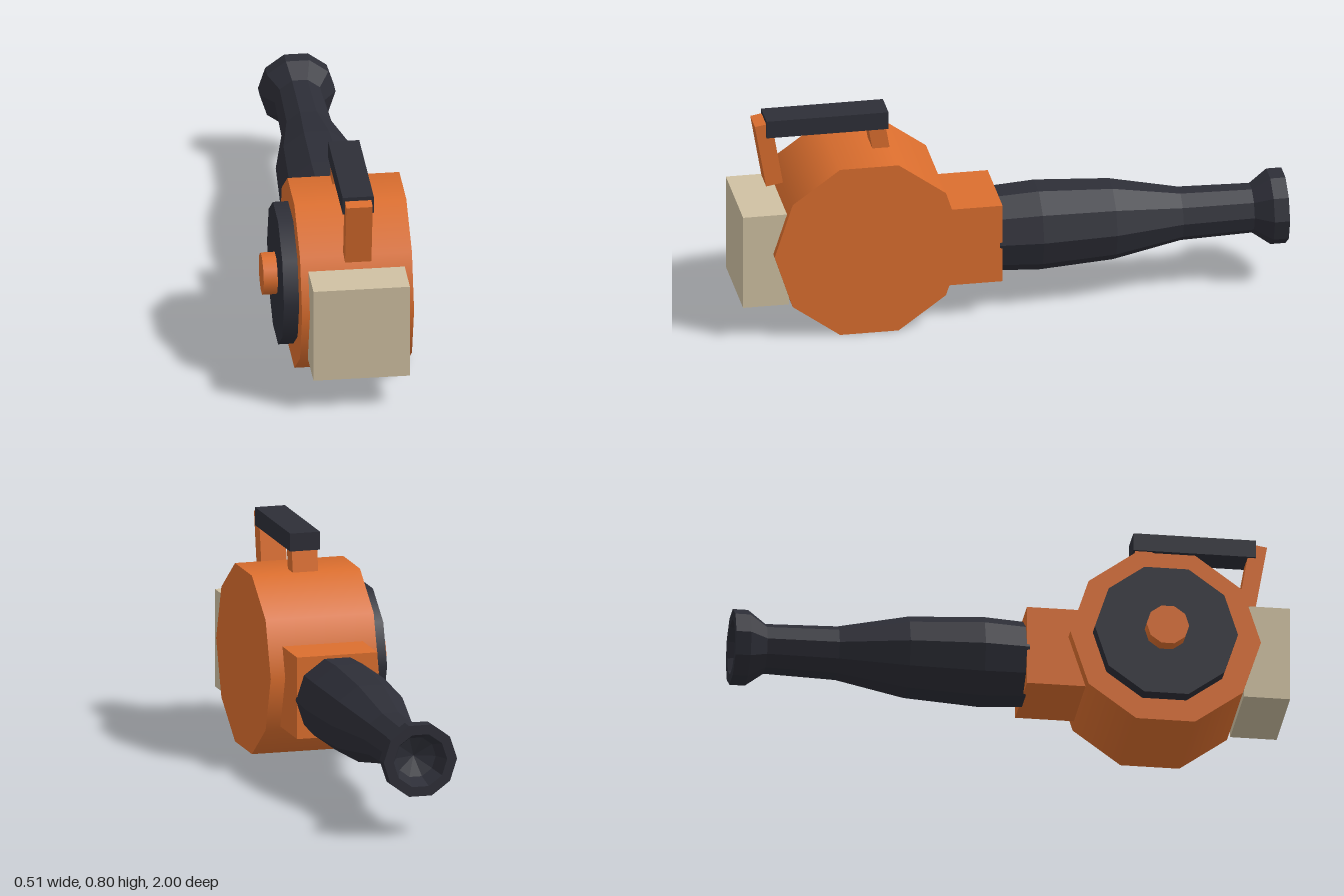
import * as THREE from 'three';

const orange = new THREE.MeshStandardMaterial({ color: 0xdb6e2e });
const charcoal = new THREE.MeshStandardMaterial({ color: 0x2d2e37 });
const beige = new THREE.MeshStandardMaterial({ color: 0xcfc0a2 });
orange.name = 'orange casing';
charcoal.name = 'charcoal grip';
beige.name = 'beige block';

export function createModel() {
  const model = new THREE.Group();
  model.name = 'powerTool';

  const add = (name, geometry, material) => {
    const mesh = new THREE.Mesh(geometry, material);
    mesh.name = name;
    model.add(mesh);
    return mesh;
  };
  // Box given by its minimum and maximum corners
  const box = (name, a, b, material) => {
    const mesh = add(name, new THREE.BoxGeometry(b[0] - a[0], b[1] - a[1], b[2] - a[2]), material);
    mesh.position.set((a[0] + b[0]) / 2, (a[1] + b[1]) / 2, (a[2] + b[2]) / 2);
    return mesh;
  };
  // Ten-sided disc lying across the body, from x0 to x1
  const disc = (name, radius, x0, x1, z, material) => {
    const geometry = new THREE.CylinderGeometry(radius, radius, x1 - x0, 10).rotateZ(-Math.PI / 2);
    add(name, geometry, material).position.set((x0 + x1) / 2, 0.329, z);
  };

  // Drum body with side plate and knob
  disc('drum', 0.345, -0.15, 0.254, 0.545, orange);
  disc('sidePlate', 0.259, -0.205, -0.14, 0.54, charcoal);
  disc('knob', 0.077, -0.256, -0.19, 0.538, orange);

  // Front block and rear neck
  box('frontBlock', [-0.122, 0.125, 0.832], [0.226, 0.483, 1], beige);
  box('neck', [-0.1, 0.138, 0.05], [0.2, 0.438, 0.35], orange);

  // Carrying handle on two slanted struts
  box('carryGrip', [-0.004, 0.734, 0.449], [0.108, 0.8, 0.893], charcoal);
  for (const [name, z] of [['frontStrut', 0.883], ['rearStrut', 0.476]]) {
    const strut = add(name, new THREE.BoxGeometry(0.095, 0.243, 0.062), orange);
    strut.position.set(0.052, 0.664, z);
    strut.rotation.x = 0.17;
  }

  // Faceted rear grip: radius and distance backwards, ending in a hollow pommel
  const profile = [
    [0, -0.06], [0.153, -0.06], [0.154, -0.05], [0.163, 0.1], [0.147, 0.37], [0.097, 0.62],
    [0.09, 0.88], [0.137, 0.945], [0.137, 1], [0.1, 1], [0.075, 0.94], [0, 0.91],
  ].map(([r, d]) => new THREE.Vector2(r, d));
  const gripGeometry = new THREE.LatheGeometry(profile, 10, Math.PI / 2)
    .rotateX(-Math.PI / 2)
    .toNonIndexed();
  gripGeometry.computeVertexNormals();
  add('rearGrip', gripGeometry, charcoal).position.set(0.05, 0.28, 0);

  return model;
}
